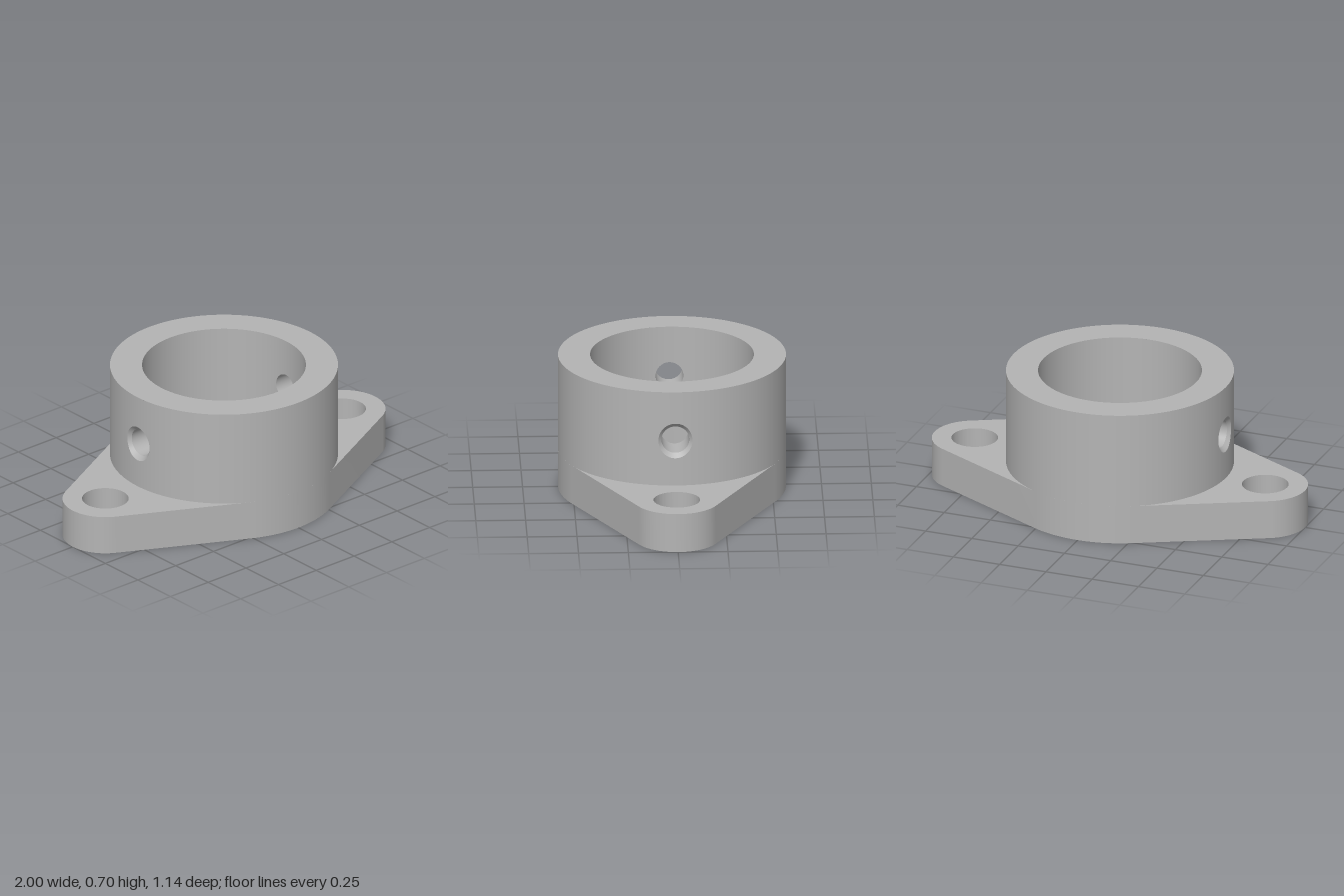
import * as THREE from 'three';
import { toCreasedNormals } from 'three/addons/utils/BufferGeometryUtils.js';
import { ParametricGeometry } from 'three/addons/geometries/ParametricGeometry.js';

const OUTER = 0.572, BORE = 0.411, TOP = 0.698, FLANGE = 0.202;
const EAR_X = 0.785, EAR_R = 0.215, BOLT_R = 0.117;
const HOLE_Y = 0.439, HOLE_R = 0.07, CHAMFER = 0.022;
const PATCH = 0.35; // half angle of the wall patch around each side hole

const onWall = (radius, angle, y, target) =>
  target.set(radius * Math.cos(angle), y, radius * Math.sin(angle));

// Radius of the side hole where it meets the wall (45 degree chamfer outside)
function rimRadius(wall, phi) {
  let r = HOLE_R;
  if (wall === OUTER) {
    for (let i = 0; i < 6; i++) {
      const z = r * Math.cos(phi);
      r = HOLE_R + CHAMFER - (wall - Math.sqrt(wall * wall - z * z));
    }
  }
  return r;
}

// Wall piece from the rim of the side hole out to a rectangle
function holePatch(wall) {
  return new ParametricGeometry((u, v, target) => {
    const phi = (wall === OUTER ? u : 1 - u) * Math.PI * 2;
    const c = Math.cos(phi), s = Math.sin(phi), m = Math.max(Math.abs(c), Math.abs(s));
    const r = rimRadius(wall, phi);
    const angle = THREE.MathUtils.lerp(Math.asin(r * c / wall), PATCH * c / m, v);
    const edgeY = FLANGE + (TOP - FLANGE) * (s / m + 1) / 2;
    onWall(wall, angle, THREE.MathUtils.lerp(HOLE_Y + r * s, edgeY, v), target);
  }, 64, 8);
}

// Plain wall between the two hole patches
function plainWall(wall) {
  return new ParametricGeometry((u, v, target) => {
    const t = wall === OUTER ? 1 - u : u;
    onWall(wall, PATCH + t * (Math.PI - 2 * PATCH), FLANGE + v * (TOP - FLANGE), target);
  }, 48, 1);
}

// Point on the rim of the side hole
function rimPoint(wall, phi) {
  const r = rimRadius(wall, phi), z = r * Math.cos(phi);
  return new THREE.Vector3(Math.sqrt(wall * wall - z * z), HOLE_Y + r * Math.sin(phi), z);
}

// Ring where the straight hole turns into the chamfer
const shoulderPoint = (phi) => new THREE.Vector3(
  OUTER - CHAMFER, HOLE_Y + HOLE_R * Math.sin(phi), HOLE_R * Math.cos(phi));

const tunnel = (from, to) => new ParametricGeometry((u, v, target) => {
  const phi = u * Math.PI * 2;
  target.lerpVectors(from(phi), to(phi), v);
}, 64, 1);

// Flat plate with two rounded ears, bore and bolt holes
function flangeGeometry() {
  const b = Math.acos((OUTER - EAR_R) / EAR_X), PI = Math.PI;
  const shape = new THREE.Shape();
  shape.absarc(EAR_X, 0, EAR_R, -b, b);
  shape.absarc(0, 0, OUTER, b, PI - b);
  shape.absarc(-EAR_X, 0, EAR_R, PI - b, PI + b);
  shape.absarc(0, 0, OUTER, PI + b, 2 * PI - b);
  for (const [x, r] of [[0, BORE], [EAR_X, BOLT_R], [-EAR_X, BOLT_R]]) {
    shape.holes.push(new THREE.Path().absarc(x, 0, r, 0, PI * 2, true));
  }
  const geometry = new THREE.ExtrudeGeometry(shape, { depth: FLANGE, bevelEnabled: false, curveSegments: 64 });
  geometry.rotateX(-PI / 2);
  return toCreasedNormals(geometry, 0.5);
}

export function createModel() {
  const metal = new THREE.MeshStandardMaterial({ color: 0xb4b4b4 });
  metal.name = 'grey metal';
  const model = new THREE.Group();
  model.name = 'flangedBushing';
  const add = (parent, name, geometry) => {
    const mesh = new THREE.Mesh(geometry, metal);
    mesh.name = name;
    parent.add(mesh);
    return mesh;
  };

  add(model, 'flange', flangeGeometry());

  // Barrel rim
  const rim = add(model, 'barrelRim', new THREE.RingGeometry(BORE, OUTER, 128));
  rim.rotation.x = -Math.PI / 2;
  rim.position.y = TOP;

  // Two identical barrel halves, each with a side hole
  const parts = {
    outerHoleWall: holePatch(OUTER),
    innerHoleWall: holePatch(BORE),
    outerWall: plainWall(OUTER),
    innerWall: plainWall(BORE),
    sideHole: tunnel((p) => rimPoint(BORE, p), shoulderPoint),
    sideHoleChamfer: tunnel(shoulderPoint, (p) => rimPoint(OUTER, p)),
  };
  for (const side of ['left', 'right']) {
    const half = new THREE.Group();
    half.name = side + 'BarrelHalf';
    for (const [name, geometry] of Object.entries(parts)) add(half, name, geometry);
    if (side === 'right') half.rotation.y = Math.PI;
    model.add(half);
  }
  return model;
}
